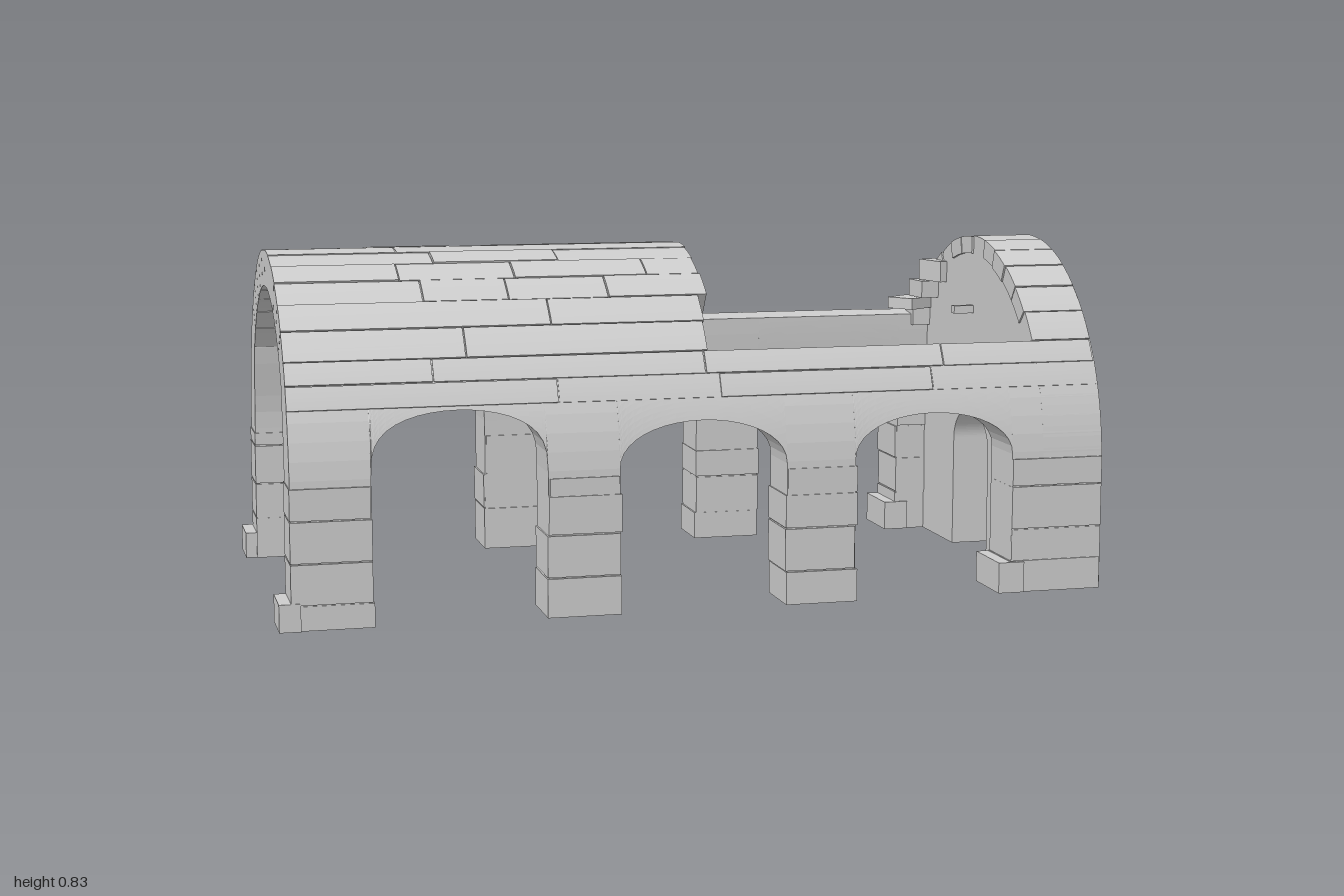
import * as THREE from 'three';
import { mergeGeometries } from 'three/addons/utils/BufferGeometryUtils.js';

// Vault section: ellipse of half-width R, stretched upward by KY, springing at CY
const R = 0.489, RI = 0.41, KY = 1.077, CY = 0.3, CUT = 35 * Math.PI / 180;
const WEST = -0.97, EAST = 1, ROOF_END = 0.058, END_WALL = 0.848;
const WALL_TOP = CY + R * KY * Math.sin(CUT);
const PIERS = [[WEST, -0.785], [-0.375, -0.205], [0.2, 0.37], [0.768, EAST]];

let seed = 7;
const rand = () => (seed = (seed * 16807) % 2147483647) / 2147483647;
const jitter = (a) => (rand() - 0.5) * 2 * a;

// Inner wall face: thinner at the open end, leaning in towards the vault
const innerFoot = (x) => THREE.MathUtils.mapLinear(
  THREE.MathUtils.clamp(x, -0.785, -0.375), -0.785, -0.375, 0.37, 0.35);
const innerZ = (x, y) =>
  THREE.MathUtils.lerp(innerFoot(x), 0.336, THREE.MathUtils.smoothstep(y, 0.35, WALL_TOP));

export function createModel() {
  const group = new THREE.Group();
  const mat = new THREE.MeshStandardMaterial({ color: 0xcccccc, flatShading: true });
  const add = (name, geometry) => {
    const mesh = new THREE.Mesh(geometry, mat);
    mesh.name = name;
    group.add(mesh);
  };

  // Ring sector about the vault axis, running from x0 to x1
  const sector = (r0, r1, a0, a1, x0, x1, curveSegments = 4) => {
    const s = new THREE.Shape();
    s.absellipse(0, CY, r1, r1 * KY, a0, a1, false);
    s.absellipse(0, CY, r0, r0 * KY, a1, a0, true);
    return new THREE.ExtrudeGeometry(s, { depth: x1 - x0, bevelEnabled: false, curveSegments })
      .rotateY(Math.PI / 2).translate(x0, 0, 0);
  };

  const block = (x0, x1, y0, y1, z0, z1) =>
    new THREE.BoxGeometry(x1 - x0, y1 - y0, z1 - z0)
      .translate((x0 + x1) / 2, (y0 + y1) / 2, (z0 + z1) / 2);

  // One row of curved stones of uneven length
  const course = (out, r0, a0, a1, x0, x1) => {
    let x = x0;
    while (x < x1 - 0.01) {
      let end = x + 0.2 + rand() * 0.45;
      if (x1 - end < 0.12) end = x1;
      out.push(sector(r0, R + 0.003 + jitter(0.002), a0 + 0.003, a1 - 0.003, x, end - 0.003));
      x = end;
    }
  };

  // Side wall: cross-sections lofted along x, with the underside following the arches
  function sideWall(side, arches) {
    const stations = [];
    PIERS.forEach(([a, b], i) => {
      stations.push([a, 0], [b, 0]);
      if (i === 3) return;
      const c = PIERS[i + 1][0], N = 20, spring = 0.34;
      const [apex, power] = arches[i];
      for (let k = 0; k <= N; k++) {
        const t = Math.PI * k / N;
        const rise = k % N ? Math.pow(Math.sin(t), power) : 0;
        stations.push([(b + c) / 2 - Math.cos(t) * (c - b) / 2, spring + (apex - spring) * rise]);
      }
    });
    const M = 14, rows = 2 * (M + 1), pos = [], idx = [];
    for (const [x, yb] of stations) {
      for (let j = 0; j <= M; j++) {
        const y = yb + (WALL_TOP - yb) * j / M, h = Math.max(0, y - CY) / KY;
        pos.push(x, y, side * Math.sqrt(R * R - h * h));
      }
      for (let j = M; j >= 0; j--) {
        const y = yb + (WALL_TOP - 0.008 - yb) * j / M;
        pos.push(x, y, side * innerZ(x, y));
      }
    }
    const quad = (a, b, c, d) =>
      side > 0 ? idx.push(a, b, c, a, c, d) : idx.push(a, c, b, a, d, c);
    for (let i = 0; i < stations.length - 1; i++)
      for (let j = 0; j < rows; j++) {
        const a = i * rows, b = a + rows, k = (j + 1) % rows;
        quad(a + j, b + j, b + k, a + k);
      }
    const last = (stations.length - 1) * rows;
    for (let j = 0; j < M; j++) {
      const p = rows - 1 - j;
      quad(j, j + 1, p - 1, p);
      quad(last + p, last + p - 1, last + j + 1, last + j);
    }
    const g = new THREE.BufferGeometry();
    g.setAttribute('position', new THREE.Float32BufferAttribute(pos, 3));
    g.setIndex(idx);
    const flat = g.toNonIndexed();
    flat.computeVertexNormals();
    return flat;
  }
  // Each arch: crown height and roundness
  add('frontArcade', sideWall(1, [[0.49, 0.6], [0.448, 0.9], [0.445, 0.9]]));
  add('backArcade', sideWall(-1, [[0.435, 0.4], [0.448, 0.9], [0.445, 0.9]]));

  // Uneven stone courses on the piers, and plinths at the four corners
  const pierStones = [], plinths = [];
  for (const s of [1, -1]) {
    const zBlock = (x0, x1, y0, y1, zi, zo) =>
      block(x0, x1, y0, y1, Math.min(s * zi, s * zo), Math.max(s * zi, s * zo));
    for (const [a, b] of PIERS) {
      let y = 0;
      while (y < 0.3) {
        const top = Math.min(0.33, y + 0.06 + rand() * 0.05);
        const x0 = a === WEST ? a - 0.002 : a + jitter(0.005);
        const x1 = b === EAST ? b - 0.002 : b + jitter(0.005);
        pierStones.push(zBlock(x0, x1, y, top - 0.003,
          innerFoot(a) - 0.002 + jitter(0.003), 0.493 + jitter(0.003)));
        y = top;
      }
    }
    plinths.push(zBlock(-1, -0.95, 0, 0.065, 0.375, 0.497));
    plinths.push(zBlock(0.735, 0.8, 0, 0.075, 0.345, 0.497));
  }
  add('pierStones', mergeGeometries(pierStones));
  add('cornerPlinths', mergeGeometries(plinths));

  // Curved masonry above the arches
  const wallStones = [];
  const low = 22 * Math.PI / 180, mid = (low + CUT) / 2;
  for (const [a0, a1] of [[low, mid], [mid, CUT]]) {
    course(wallStones, 0.47, a0, a1, WEST, EAST - 0.002);
    course(wallStones, 0.47, Math.PI - a1, Math.PI - a0, WEST, EAST - 0.002);
  }
  add('upperWallStones', mergeGeometries(wallStones));

  // Surviving half of the barrel vault, with a ragged broken end
  add('vaultCore', sector(RI + 0.004, R - 0.004, CUT, Math.PI - CUT, WEST + 0.004, 0.02, 30));
  const vaultStones = [], crownStones = [], N = 12, step = (Math.PI - 2 * CUT) / N;
  for (let i = 0; i < N; i++) {
    const a0 = CUT + i * step, a1 = a0 + step;
    const end = i < 2 || i > N - 3 ? 0.03 : ROOF_END;
    course(vaultStones, RI, a0, a1, WEST, end + jitter(0.006));
    crownStones.push(sector(0.45, R + 0.003 + jitter(0.002), a0 + 0.003, a1 - 0.003,
      END_WALL - 0.003 + jitter(0.004), 0.998));
  }
  add('vaultStones', mergeGeometries(vaultStones));
  add('endWallCrownStones', mergeGeometries(crownStones));

  // Solid end wall with an arched doorway open to the ground
  const wall = new THREE.Shape();
  wall.moveTo(0.122, 0);
  wall.lineTo(R, 0);
  wall.lineTo(R, CY);
  wall.absellipse(0, CY, R, R * KY, 0, Math.PI, false);
  wall.lineTo(-R, 0);
  wall.lineTo(-0.122, 0);
  wall.lineTo(-0.122, 0.285);
  wall.absellipse(0, 0.285, 0.122, 0.092, Math.PI, 0, true);
  wall.closePath();
  add('endWall', new THREE.ExtrudeGeometry(wall, {
    depth: EAST - END_WALL, bevelEnabled: false, curveSegments: 32,
  }).rotateY(Math.PI / 2).translate(END_WALL, 0, 0));

  // Loose broken stones clinging to the end wall
  const rubble = [
    // x, y, z, width, height, depth, turn
    [0.79, 0.628, -0.32, 0.09, 0.03, 0.08, 0.6],
    [0.825, 0.668, -0.295, 0.06, 0.045, 0.08, 0.1],
    [0.84, 0.72, -0.245, 0.05, 0.055, 0.1, 0.25],
    [0.845, 0.735, -0.295, 0.04, 0.02, 0.03, 0],
    [0.83, 0.59, -0.35, 0.06, 0.05, 0.06, 0],
    [0.825, 0.64, -0.005, 0.06, 0.02, 0.02, 0],
  ];
  add('rubble', mergeGeometries(rubble.map(([x, y, z, w, h, d, turn]) =>
    new THREE.BoxGeometry(w, h, d).rotateY(turn).translate(x, y, z))));

  return group;
}
